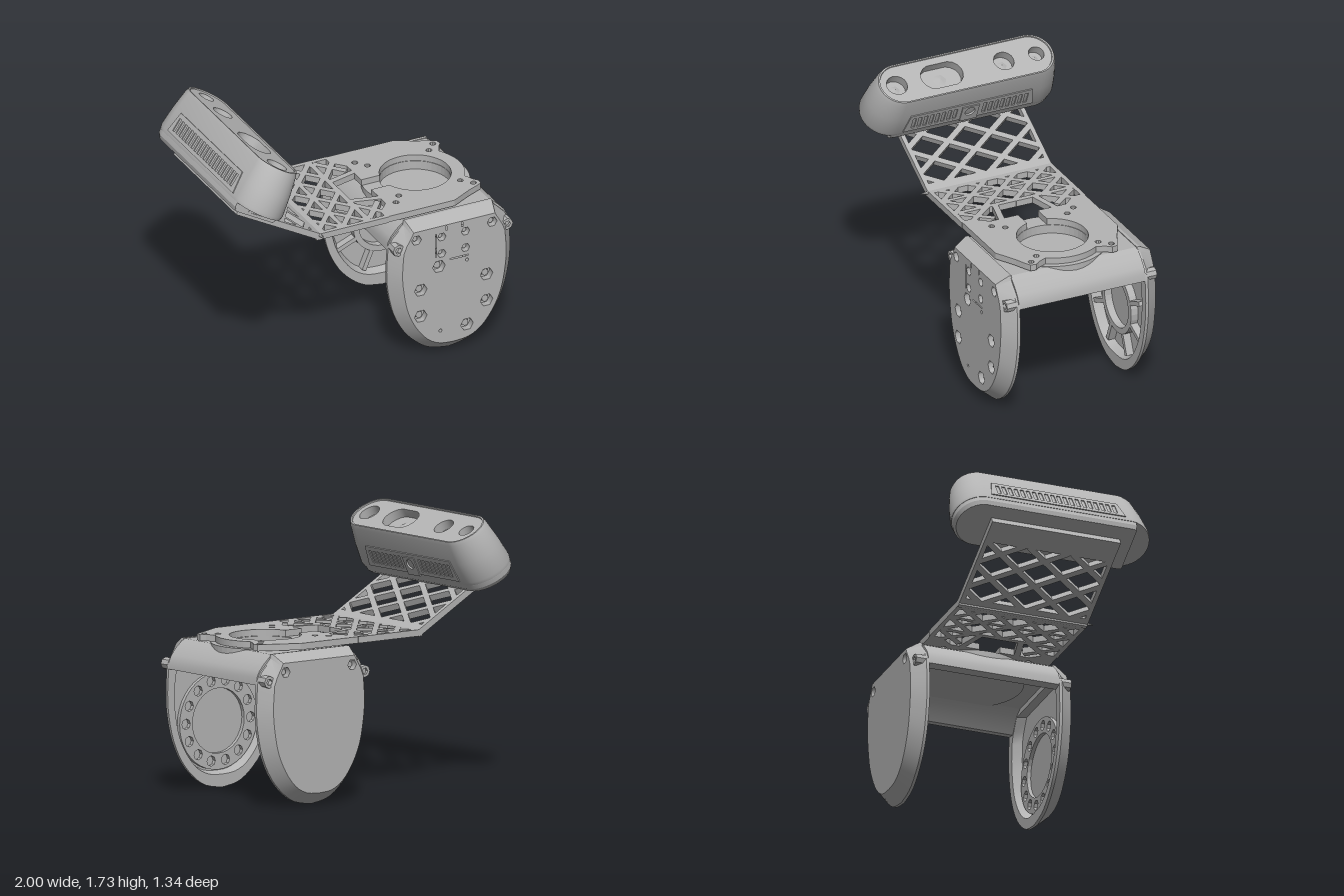
import * as THREE from 'three';
import { toCreasedNormals } from 'three/addons/utils/BufferGeometryUtils.js';

const grey = new THREE.MeshStandardMaterial({ color: 0xb4b4b4, side: THREE.DoubleSide });
grey.name = 'plain grey';
const V2 = (x, y) => new THREE.Vector2(x, y);

function add(parent, name, geo, x = 0, y = 0, z = 0) {
  const m = new THREE.Mesh(geo, grey);
  m.name = name;
  m.position.set(x, y, z);
  parent.add(m);
  return m;
}
function group(parent, name) {
  const g = new THREE.Group();
  g.name = name;
  parent.add(g);
  return g;
}
// skin through closed loops of equal length
function skin(loops) {
  const n = loops[0].length, idx = [];
  for (let r = 0; r < loops.length - 1; r++) for (let i = 0; i < n; i++) {
    const a = r * n + i, b = r * n + (i + 1) % n;
    idx.push(a, b, b + n, a, b + n, a + n);
  }
  const g = new THREE.BufferGeometry();
  g.setAttribute('position', new THREE.Float32BufferAttribute(loops.flat().flatMap(p => [p.x, p.y, p.z]), 3));
  g.setIndex(idx);
  return toCreasedNormals(g, 0.4);
}
// circle, optionally pulled apart into a slot
function circle(x, y, r, n = 24, extX = 0, extY = 0) {
  const pts = [];
  for (let i = 0; i < n; i++) {
    const a = (i + (extX || extY ? .5 : 0)) / n * Math.PI * 2, c = Math.cos(a), s = Math.sin(a);
    pts.push(V2(x + r * c + Math.sign(c) * extX, y + r * s + Math.sign(s) * extY));
  }
  return pts;
}
const rect = (x0, y0, x1, y1) => [V2(x0, y0), V2(x1, y0), V2(x1, y1), V2(x0, y1)];
function shape(pts, holes = []) {
  const s = new THREE.Shape(pts);
  s.holes = holes.map(h => new THREE.Path(h));
  return s;
}
const extrude = (s, depth) => new THREE.ExtrudeGeometry(s, { depth, bevelEnabled: false, curveSegments: 24 });
const flat = (s, depth) => extrude(s, depth).rotateX(-Math.PI / 2); // plate lying in x-z

// ---- cheek plates: half outlines run from the bottom to the top
const OUT = [[0, 0], [.13, .025], [.23, .09], [.32, .19], [.39, .33], [.43, .5], [.44, .65], [.43, .82], [.4, .88], [.32, .96], [.31, .99]];
const INS = [[0, .08], [.1, .09], [.19, .14], [.27, .24], [.33, .37], [.36, .52], [.37, .65], [.36, .8], [.34, .85], [.3, .92], [.29, .94]];
function outline(half) {
  const p = half.map(a => V2(...a));
  const right = new THREE.SplineCurve(p.slice(0, 8)).getPoints(21).concat(p.slice(8));
  return right.concat(right.slice(1).reverse().map(q => V2(-q.x, q.y)));
}
function cheek(parent, name, bolts, slits) {
  const g = group(parent, name);
  const out = outline(OUT), ins = outline(INS);
  const pocket = ins.map(p => V2(p.x * 1.04, .01 + p.y * .93)), pocketFloor = ins.map(p => V2(p.x * .96, .03 + p.y * .91));
  const at = (pts, z) => pts.map(p => new THREE.Vector3(p.x, p.y, z));
  add(g, 'chamferedEdge', skin([at(out, .445), at(out, .465), at(ins, .55)]));
  add(g, 'outerFace', new THREE.ShapeGeometry(shape(ins, [...bolts.map(b => circle(b[0], b[1], b[2], 6)), ...slits])), 0, 0, .55);
  add(g, 'innerFloor', new THREE.ShapeGeometry(shape(ins)), 0, 0, .505);
  add(g, 'innerRim', new THREE.ShapeGeometry(shape(out, [pocket])), 0, 0, .445);
  add(g, 'pocketWall', skin([at(pocket, .445), at(pocketFloor, .505)]));
  for (const [x, y, r] of bolts) {
    add(g, 'boltRecess', new THREE.CylinderGeometry(r, r, .045, 6, 1, true).rotateX(Math.PI / 2).rotateZ(Math.PI / 2), x, y, .5275);
    add(g, 'screwHead', new THREE.CylinderGeometry(r * .55, r * .55, .02, 6).rotateX(Math.PI / 2), x, y, .515);
  }
  // corner bolts, partly sunk in the chamfer
  for (const s of [-1, 1]) {
    add(g, 'cornerBoss', extrude(shape(circle(0, 0, .04, 8), [circle(0, 0, .022, 6)]), .07), s * .388, .825, .462);
    add(g, 'cornerScrew', new THREE.CylinderGeometry(.022, .022, .05, 6).rotateX(Math.PI / 2), s * .388, .825, .49);
  }
  return g;
}

// ---- lattice bars in a local x-z plane
function bar(g, x0, z0, x1, z1, w, t) {
  const m = add(g, 'latticeBar', new THREE.BoxGeometry(Math.hypot(x1 - x0, z1 - z0), t, w), (x0 + x1) / 2, t / 2, (z0 + z1) / 2);
  m.rotation.y = -Math.atan2(z1 - z0, x1 - x0);
}
function diagonals(g, xa, xb, xc, step, offset, slope, w, t) {
  for (let k = -5; k <= 5; k++) for (const s of [-slope, slope]) {
    const c = offset + k * step, e = [(-.42 - c) / s + xc, (.42 - c) / s + xc].sort((a, b) => a - b);
    const a = Math.max(xa, e[0]), b = Math.min(xb, e[1]);
    if (b - a > .02) bar(g, a, c + s * (a - xc), b, c + s * (b - xc), w, t);
  }
}

export function createModel() {
  const root = new THREE.Group();
  root.name = 'sensorBracket';
  const CX = .56, T = .042;

  // front cheek: bolted outside, ring seat inside
  const bolts = [[-.27, .88, .035], [.27, .88, .035]];
  const ring = [[-.11, .65], [-.24, .51], [.23, .51], [-.24, .32], [.23, .32], [.09, .18]].map(b => [...b, .045]);
  const four = [[-.09, .86], [.08, .86], [-.09, .74], [.08, .74]].map(b => [...b, .03]);
  const slits = [rect(-.135, .72, -.127, .89), rect(-.03, .68, .1, .688), rect(-.06, .9, -.052, .932), rect(.052, .9, .06, .932)];
  const front = cheek(root, 'frontCheek', [...bolts, ...ring, ...four, [-.1, .18, .012], [.09, .65, .012]], slits);
  front.position.x = CX;
  const slots = [];
  for (let i = 0; i < 14; i++) {
    const a = i / 14 * Math.PI * 2;
    slots.push(circle(.262 * Math.cos(a), .262 * Math.sin(a), .034, 8));
  }
  add(front, 'ringSeat', extrude(shape(circle(0, 0, .315, 40), [circle(0, 0, .21, 32), ...slots]), .025), 0, .425, .48);

  // back cheek: plain outside, ribbed pocket inside
  const back = cheek(root, 'backCheek', bolts, []);
  back.position.x = CX;
  back.rotation.y = Math.PI;
  add(back, 'hub', extrude(shape(circle(0, 0, .21, 32), [circle(0, 0, .17, 32)]), .05), 0, .45, .455);
  for (let i = 0; i < 8; i++) {
    const a = (i + .5) / 8 * Math.PI * 2;
    add(back, 'rib', new THREE.BoxGeometry(.14, .03, .05), .28 * Math.cos(a), .45 + .28 * Math.sin(a), .48).rotation.z = a;
  }

  // saddle joining the cheeks
  const saddle = group(root, 'saddle');
  for (const s of [-1, 1]) {
    const prof = [[.43, .8], [.425, .85], [.405, .89], [.365, .935], [.325, .97], [.3, .985], [.24, .985], [.24, .92], [.3, .89], [.37, .79]];
    add(saddle, 'sideBeam', toCreasedNormals(extrude(shape(prof.map(p => V2(CX + s * p[0], p[1]))), .9), .5), 0, 0, -.45);
  }
  add(saddle, 'topDeck', flat(shape(rect(CX - .27, -.46, CX + .27, .46), [circle(CX, 0, .23, 40)]), .065), 0, .92, 0);
  add(saddle, 'bearingCollar', flat(shape(circle(CX, 0, .35, 48), [circle(CX, 0, .23, 40)]), .08), 0, .91, 0);
  add(saddle, 'wellFloor', new THREE.CylinderGeometry(.25, .25, .02, 40), CX, .92, 0);

  // ring plate with a keyhole opening
  const plate = group(root, 'topPlate');
  plate.position.y = .992;
  const s = new THREE.Shape();
  s.moveTo(.21, -.07);
  for (const p of [[.21, -.27], [.13, -.36], [.13, -.435], [.62, -.435], [.76, -.36], [.83, -.33], [.87, -.31], [.875, -.27], [.85, -.24]]) s.lineTo(...p);
  s.absarc(CX, 0, .318, -.6, .6, false);
  for (const p of [[.85, .24], [.875, .27], [.87, .31], [.83, .33], [.76, .36], [.62, .435], [.13, .435], [.13, .36], [.21, .27], [.21, .07], [.342, .07]]) s.lineTo(...p);
  s.absarc(CX, 0, .23, 2.83, -2.83, true);
  s.lineTo(.21, -.07);
  for (const z of [-1, 1]) for (const [x, d] of [[.33, .22], [.77, .22], [.275, .29], [.83, .285]])
    s.holes.push(new THREE.Path(circle(x, z * d, .02, 10)));
  add(plate, 'ringPlate', flat(s, T));

  // flat lattice
  for (const z of [-1, 1]) {
    bar(plate, -.35, z * .425, .15, z * .425, .03, T);
    bar(plate, .02, z * .14, .22, z * .19, .04, T);
    bar(plate, .02, z * .2, .16, z * .37, .04, T);
    bar(plate, .03, z * .4, .18, z * .22, .04, T);
  }
  bar(plate, -.335, -.44, -.335, .44, .07, T);
  bar(plate, -.17, -.42, -.17, .42, .03, T);
  bar(plate, .015, -.42, .015, .42, .035, T);
  diagonals(plate, -.31, .02, -.17, .21, 0, 1.15, .037, T);
  add(plate, 'edgeSpur', new THREE.ConeGeometry(.015, .06, 4).rotateX(Math.PI / 2), -.34, .03, .465);

  // tilted lattice: local -x runs up the slope
  const ramp = group(root, 'tiltedPlate');
  ramp.position.set(-.35, .992, 0);
  ramp.rotation.z = -.515;
  for (const z of [-1, 1]) bar(ramp, -.67, z * .425, .01, z * .425, .03, T);
  bar(ramp, -.03, -.42, -.03, .42, .07, T);
  bar(ramp, -.6, -.44, -.6, .44, .16, T);
  diagonals(ramp, -.53, -.05, -.34, .3, .15, 1.5, .038, T);

  // sensor housing, origin at the centre of its top face
  const box = group(root, 'sensorHousing');
  box.position.set(-.673, 1.655, 0);
  box.rotation.z = -Math.PI / 6;
  const pill = (w, l) => circle(0, 0, w, 40, 0, l - w);
  const cut = (w, l) => pill(w, l).map(p => V2(p.x, Math.max(p.y, -.53))); // squared off at one end
  const at = (pts, y) => pts.map(p => new THREE.Vector3(p.x, y, -p.y));
  add(box, 'shell', skin([at(pill(.137, .598), -.008), at(pill(.139, .6), 0), at(pill(.148, .612), 0), at(pill(.155, .625), -.025),
    at(pill(.172, .655), -.16), at(pill(.184, .673), -.29), at(pill(.18, .669), -.312)]));
  add(box, 'shellBottom', flat(shape(pill(.18, .669)), .004), 0, -.314, 0);
  add(box, 'base', skin([at(cut(.178, .667), -.31), at(cut(.176, .664), -.345), at(cut(.16, .648), -.37)]));
  add(box, 'baseBottom', flat(shape(cut(.16, .648)), .004), 0, -.372, 0);
  add(box, 'portSurround', extrude(shape(circle(0, 0, .022, 16, .04), [circle(0, 0, .014, 16, .04)]), .02), 0, -.338, .515);
  // lens wells in the top face: z, radius, stretch along z
  const wells = [[-.5, .052, 0], [-.27, .068, 0], [.17, .09, .055], [.49, .07, 0]];
  const wellLoop = ([z, r, e]) => circle(0, -z, r, 16, 0, e);
  add(box, 'topFace', new THREE.ShapeGeometry(shape(pill(.137, .598), wells.map(wellLoop))).rotateX(-Math.PI / 2), 0, -.008, 0);
  for (const w of wells) {
    add(box, 'lensWell', skin([at(wellLoop(w), -.008), at(wellLoop(w), -.07)]));
    add(box, 'lensFloor', new THREE.ShapeGeometry(shape(wellLoop(w))).rotateX(-Math.PI / 2), 0, -.07, 0);
    add(box, 'lens', new THREE.ConeGeometry(w[1] * .5, .015, 6), 0, -.0625, w[0]);
  }
  // vent grilles lying nearly flush on both long sides
  const grilleOutline = [[-.46, -.07], [.46, -.07], [.43, .075], [-.43, .075]].map(p => V2(...p));
  for (const side of [-1, 1]) {
    const g = group(box, side > 0 ? 'frontGrille' : 'rearGrille');
    g.position.set(side * .1705, -.215, 0);
    g.rotation.y = side * Math.PI / 2;
    const holes = side > 0 ? [circle(0, 0, .035, 14)] : [];
    for (let i = side > 0 ? 2 : 0; i < 10; i++) for (const q of [-1, 1]) {
      const x = q * (.02 + i * .042);
      holes.push(rect(x - .012, -.045, x + .012, .045));
    }
    add(g, 'ventPanel', extrude(shape(grilleOutline, holes), .012)).rotation.x = -.09;
    if (side > 0) add(g, 'socketTab', extrude(shape(rect(-.06, -.08, .06, .05), [circle(0, 0, .035, 14)]), .018)).rotation.x = -.09;
  }
  return root;
}
